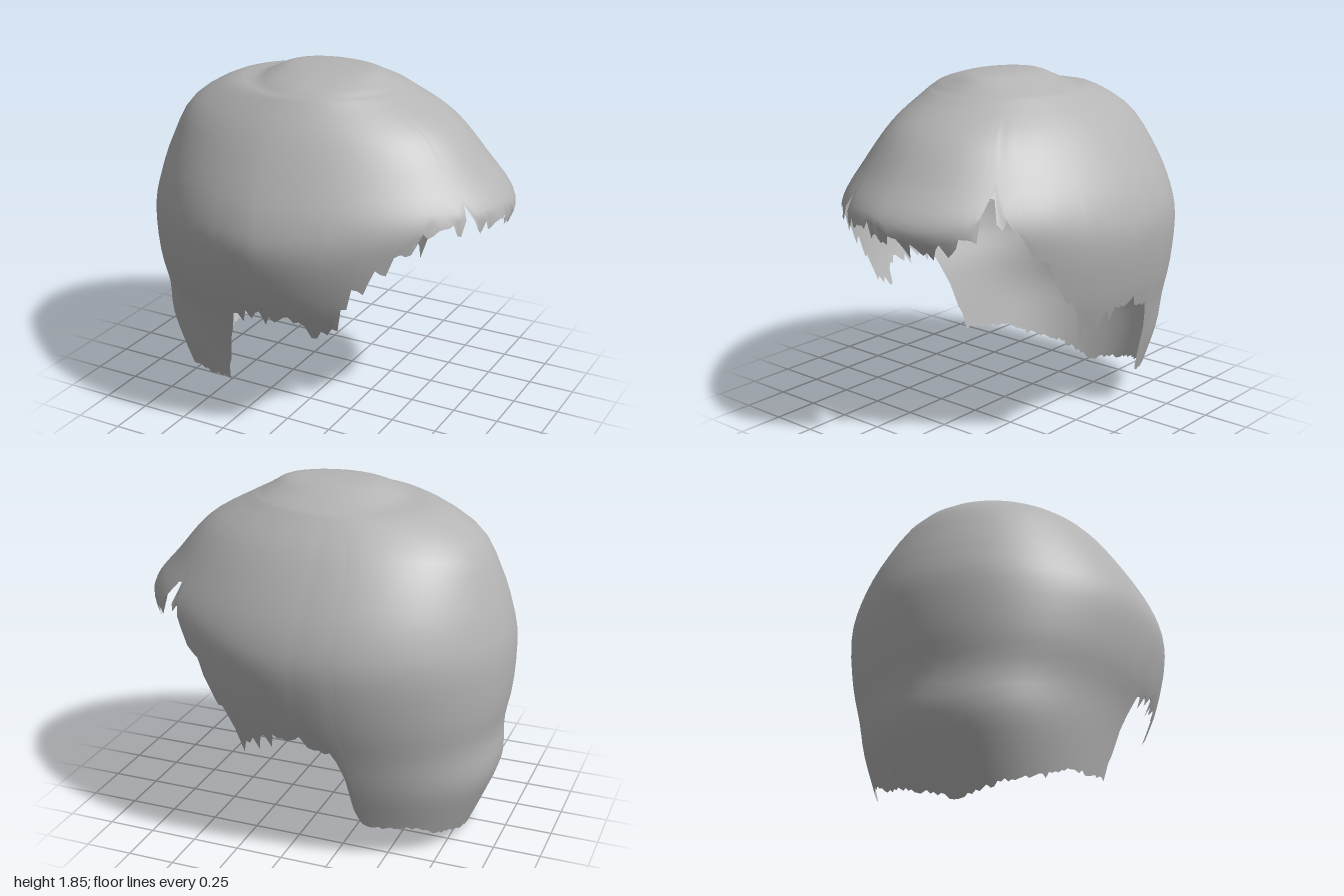
import * as THREE from 'three';

// Horizontal rings from crown to nape:
// [y, back x, front x, centre x, half depth at +z, half depth at -z, front roundness, back roundness]
// (roundness 1 is elliptical, above 1 pointed, below 1 boxy)
const RINGS = [
  [1.853, 0.0, 0.04, 0.02, 0.02, 0.02, 1, 1],
  [1.843, -0.21, 0.24, 0.0, 0.16, 0.14, 1, 1],
  [1.8, -0.32, 0.33, -0.01, 0.32, 0.25, 1, 1],
  [1.765, -0.4, 0.39, -0.04, 0.39, 0.34, 1, 1],
  [1.735, -0.58, 0.45, -0.07, 0.43, 0.39, 1, 1],
  [1.6, -0.8, 0.68, -0.1, 0.555, 0.55, 1.02, 1],
  [1.4, -0.905, 0.86, -0.09, 0.69, 0.7, 1.05, 1],
  [1.22, -0.965, 1.0, -0.07, 0.785, 0.79, 1.08, 1],
  [1.05, -0.995, 0.95, -0.06, 0.82, 0.82, 1.08, 0.98],
  [0.8, -0.985, 0.92, -0.07, 0.77, 0.785, 1.08, 0.95],
  [0.6, -0.95, 0.9, -0.09, 0.685, 0.73, 1.08, 0.92],
  [0.4, -0.95, 0.88, -0.1, 0.625, 0.68, 1.08, 0.9],
  [0.2, -0.877, 0.85, -0.1, 0.58, 0.62, 1.08, 0.88],
  [0.0, -0.79, 0.8, -0.1, 0.54, 0.57, 1.08, 0.88],
];

// Hairline height by angle (0 = face, 180 = nape) on each side
const SIDE = [[59, 0.88], [63, 0.74], [67, 0.6], [75, 0.66], [82, 0.71], [96, 0.69],
  [99, 0.62], [101, 0.5], [103, 0.35], [106, 0.2], [130, 0.18], [141, 0.12], [160, 0.08], [172, 0.04], [180, 0.01]];
const RIM_LEFT = [[0, 1.18], [10, 1.2], [22, 1.19], [25, 1.29], [28, 1.2], [38, 1.22], [46, 1.1], ...SIDE];
const RIM_RIGHT = [[0, 1.18], [10, 1.12], [18, 1.1], [26, 1.12], [33, 1.17], [36, 1.24], [39, 1.37],
  [42, 1.24], [46, 1.19], [52, 1.03], ...SIDE];

const lerpTable = (table, a) => {
  let i = 1;
  while (i < table.length - 1 && table[i][0] < a) i++;
  const [a0, y0] = table[i - 1], [a1, y1] = table[i];
  return y0 + (y1 - y0) * THREE.MathUtils.clamp((a - a0) / (a1 - a0), 0, 1);
};

// Smooth (Catmull-Rom) value of one ring column at t
function ringValue(t, k) {
  const last = RINGS.length - 1;
  const i = Math.min(Math.floor(t), last - 1), f = t - i;
  const at = (j) => RINGS[THREE.MathUtils.clamp(j, 0, last)][k];
  const [a, b, c, d] = [at(i - 1), at(i), at(i + 1), at(i + 2)];
  return b + 0.5 * f * (c - a + f * (2 * a - 5 * b + 4 * c - d + f * (3 * (b - c) + d - a)));
}

// Ring parameter whose height is y
function ringAt(y) {
  let lo = 0, hi = RINGS.length - 1;
  for (let n = 0; n < 24; n++) {
    const mid = (lo + hi) / 2;
    if (ringValue(mid, 0) > y) lo = mid; else hi = mid;
  }
  return lo;
}

// Point on the head of hair; the plan is slightly skewed
function shellPoint(t, angle) {
  const [y, back, front, cx, zl, zr, ef, eb] = RINGS[0].map((_, k) => ringValue(t, k));
  const c = Math.cos(angle), s = Math.sin(angle);
  const e = c > 0 ? ef : eb;
  const px = Math.abs(c) ** e, pz = Math.abs(s) ** e;
  const low = Math.min(1, t / 7);
  const lean = c > 0 ? -0.045 * c * low : 0;
  return [
    cx + (c > 0 ? front - cx : back - cx) * px + 0.04 * s * low,
    y,
    (s > 0 ? zl : -zr) * pz + lean,
  ];
}

function hairGeometry(cols, rows) {
  let seed = 11;
  const rand = () => (seed = (seed * 16807) % 2147483647) / 2147483647;
  const position = [], index = [];
  for (let i = 0; i < cols; i++) {
    const angle = (i / cols) * Math.PI * 2;
    const deg = i / cols * 360;
    const fromFace = deg > 180 ? 360 - deg : deg;
    const rim = lerpTable(deg > 180 ? RIM_RIGHT : RIM_LEFT, fromFace);
    const tRim = ringAt(rim);
    // Ragged tips, calmer across the nape
    const ragged = fromFace > 106 ? 0.012 : 0.05;
    const tTip = ringAt(Math.max(0.003, rim + (rand() - 0.55) * 2 * ragged));
    for (let j = 0; j <= rows; j++) {
      const t = j < rows ? (tRim * j) / rows : tTip;
      position.push(...shellPoint(t, angle));
    }
    const a = i * (rows + 1), b = ((i + 1) % cols) * (rows + 1);
    for (let j = 0; j < rows; j++) {
      index.push(a + j, b + j, a + j + 1, b + j, b + j + 1, a + j + 1);
    }
  }
  // Close the crown
  const pole = position.length / 3;
  position.push(0.02, 1.854, 0);
  for (let i = 0; i < cols; i++) index.push(pole, ((i + 1) % cols) * (rows + 1), i * (rows + 1));

  const geometry = new THREE.BufferGeometry();
  geometry.setAttribute('position', new THREE.Float32BufferAttribute(position, 3));
  geometry.setIndex(index);
  geometry.computeVertexNormals();
  return geometry;
}

export function createModel() {
  const group = new THREE.Group();
  group.name = 'hairpiece';
  const grey = new THREE.MeshStandardMaterial({ color: 0xb4b4b4, side: THREE.DoubleSide });
  grey.name = 'hair grey';
  const hair = new THREE.Mesh(hairGeometry(220, 36), grey);
  hair.name = 'hair shell';
  group.add(hair);
  return group;
}
